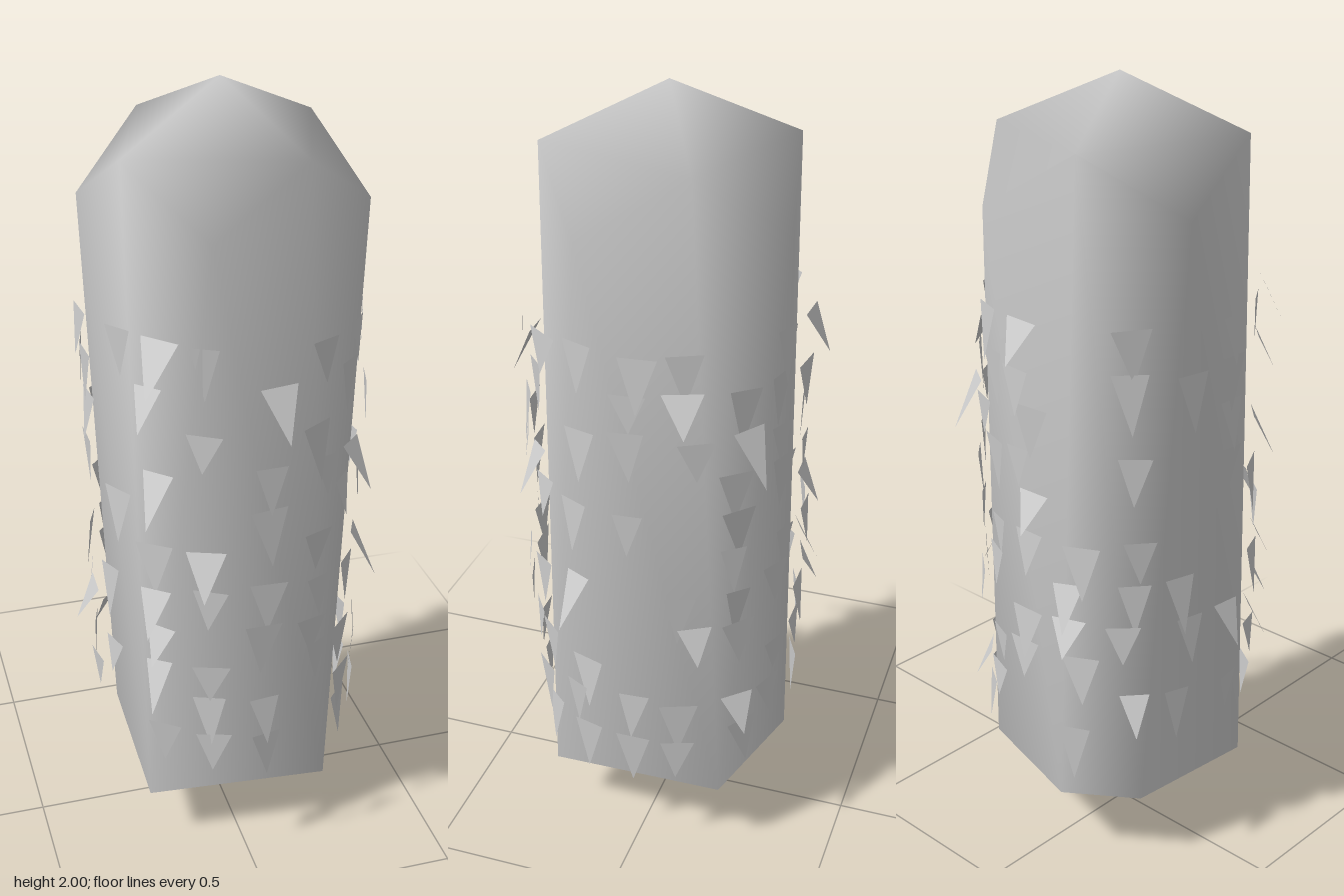
import * as THREE from 'three';
import { mergeVertices } from 'three/addons/utils/BufferGeometryUtils.js';
import { ConvexGeometry } from 'three/addons/geometries/ConvexGeometry.js';

const material = new THREE.MeshStandardMaterial({ color: 0xcccccc });
const thinMaterial = new THREE.MeshStandardMaterial({ color: 0xcccccc, side: THREE.DoubleSide });

// Small seeded generator for the scatter of the scales
let seed = 7;
function random() {
  seed = (seed * 16807) % 2147483647;
  return seed / 2147483647;
}
const spread = (amount) => (random() * 2 - 1) * amount;

// Coarse capsule: two tips joined by twisted rings of corners, smooth shaded
function createBody() {
  const corners = [
    [0.01, 2, 0], // top tip
    [0.28, 1.87, -0.14], [0.14, 1.87, 0.27], [-0.26, 1.87, 0.15], [-0.12, 1.87, -0.28],
    [0.345, 1.72, 0.11], [-0.1, 1.72, 0.33], [-0.31, 1.72, -0.11], [0.13, 1.72, -0.33],
    [0.23, 0.16, 0.25], [-0.24, 0.16, 0.21], [-0.24, 0.2, -0.19], [-0.07, 0.2, -0.31], [0.265, 0.2, -0.22],
    [0.01, 0, 0], // bottom tip
  ].map((p) => new THREE.Vector3(...p));
  let geometry = new ConvexGeometry(corners);
  geometry.deleteAttribute('normal');
  geometry = mergeVertices(geometry);
  geometry.computeVertexNormals();
  const body = new THREE.Mesh(geometry, material);
  body.name = 'body';
  return body;
}

// Loose triangular scales hanging point-down in 16 columns of 11 rows
function createScales() {
  const scales = new THREE.Group();
  scales.name = 'scales';

  // Rows holding a scale in each column, going round from the +x side to the front
  const columns = [
    '11101000011', '10101010111', '11011010111', '10110111100',
    '01011011011', '10100110111', '11010111101', '10001010100',
    '11110001010', '01000011010', '11010111010', '00000111101',
    '11111101100', '11110110110', '01111111011', '11100011011',
  ];
  const triangle = new THREE.ShapeGeometry(new THREE.Shape([
    new THREE.Vector2(-0.043, 0),
    new THREE.Vector2(0, -0.13),
    new THREE.Vector2(0.043, 0),
  ]));

  columns.forEach((rows, column) => {
    [...rows].forEach((mark, row) => {
      if (mark !== '1') return;
      const angle = THREE.MathUtils.degToRad(column * 22.5 - 3 + spread(4));
      const radius = 0.347 + spread(0.01);
      const scale = new THREE.Mesh(triangle, thinMaterial);
      scale.name = 'scale';
      scale.position.set(
        0.015 + radius * Math.cos(angle),
        1.48 - row * 0.107 + spread(0.015),
        radius * Math.sin(angle),
      );
      // A few scales flare outward at the tip
      const flare = random() < 0.13 ? 0.45 : 0.03 + spread(0.1);
      scale.rotation.set(-flare, Math.PI / 2 - angle + spread(0.1), spread(0.06), 'YXZ');
      scale.scale.set(0.98 + spread(0.18), 0.95 + spread(0.22), 1);
      scales.add(scale);
    });
  });
  return scales;
}

export function createModel() {
  const model = new THREE.Group();
  model.name = 'scalyColumn';
  model.add(createBody(), createScales());
  return model;
}
